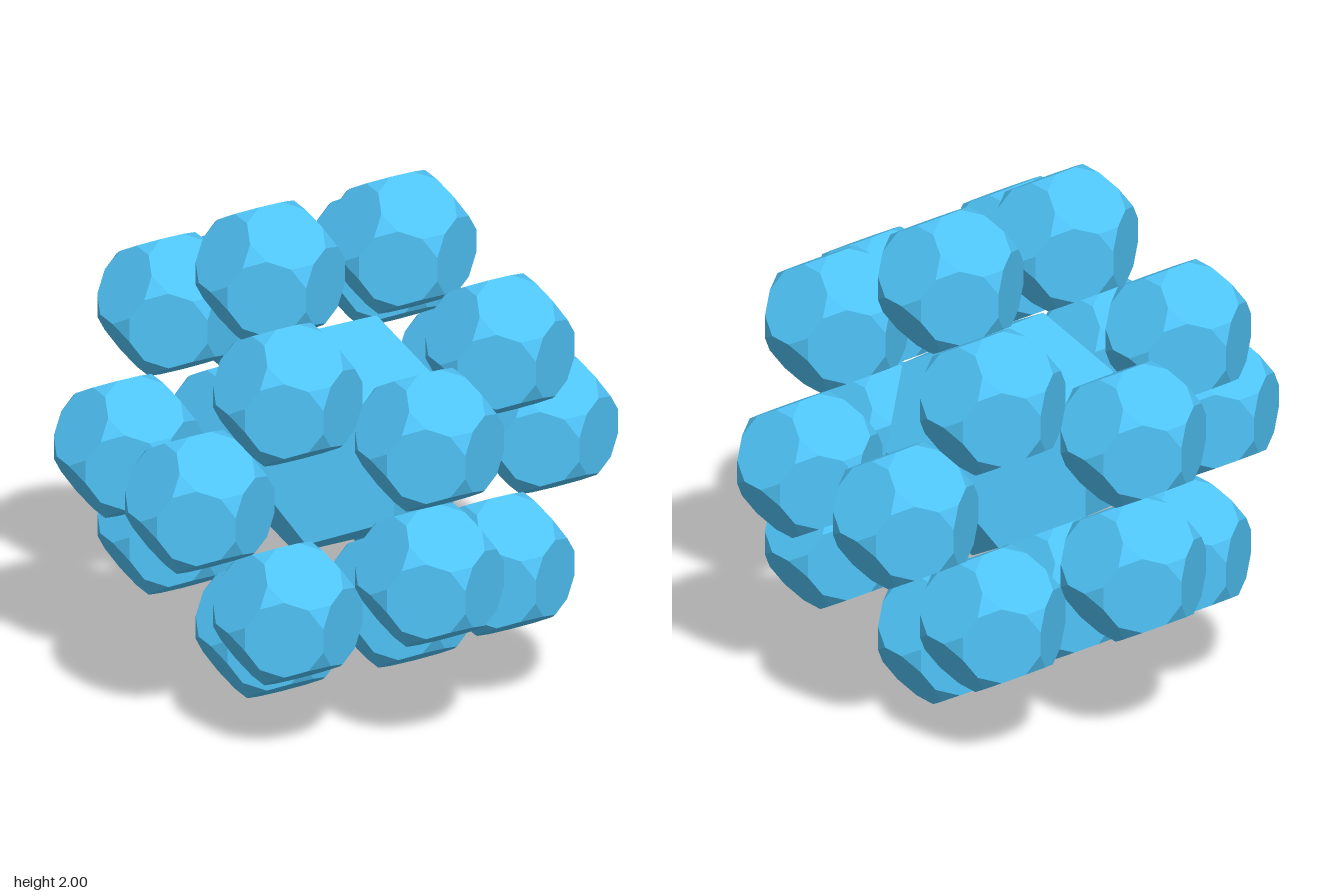
import * as THREE from 'three';
import { ConvexGeometry } from 'three/addons/geometries/ConvexGeometry.js';

const PHI = (1 + Math.sqrt(5)) / 2;

// The 20 corners of a dodecahedron whose inscribed cube has half-side s
function dodecahedronCorners(s) {
  const corners = [];
  for (const a of [-1, 1]) for (const b of [-1, 1]) {
    for (const c of [-1, 1]) corners.push(new THREE.Vector3(a, b, c));
    const p = a / PHI, q = b * PHI;
    corners.push(new THREE.Vector3(0, p, q), new THREE.Vector3(p, q, 0), new THREE.Vector3(q, 0, p));
  }
  return corners.map((v) => v.multiplyScalar(s));
}

// Cut every corner so the pentagons become regular decagons
function truncatedDodecahedron(s) {
  const corners = dodecahedronCorners(s);
  const edge = (2 * s) / PHI;
  const cut = 1 / (2 + PHI);
  const points = [];
  for (const a of corners) for (const b of corners) {
    if (a !== b && a.distanceTo(b) < edge * 1.05) points.push(a.clone().lerp(b, cut));
  }
  return new ConvexGeometry(points);
}

export function createModel() {
  const group = new THREE.Group();
  group.name = 'dodecahedralCluster';
  const material = new THREE.MeshStandardMaterial({ color: 0x4fc3f7, flatShading: true });

  const spacing = 1 / Math.sqrt(5);          // outer cells meet edge to edge
  const coreSize = spacing / PHI;
  const cellSize = coreSize / PHI;

  // Large plain core
  const core = new THREE.Mesh(new THREE.DodecahedronGeometry(coreSize * Math.sqrt(3)), material);
  core.name = 'core';
  core.position.y = 1;
  group.add(core);

  // One truncated cell at each corner of a larger dodecahedron
  const cellGeometry = truncatedDodecahedron(cellSize);
  dodecahedronCorners(spacing).forEach((p, i) => {
    const cell = new THREE.Mesh(cellGeometry, material);
    cell.name = `outerCell${i + 1}`;
    cell.position.set(p.x, p.y + 1, p.z);
    group.add(cell);
  });

  return group;
}
